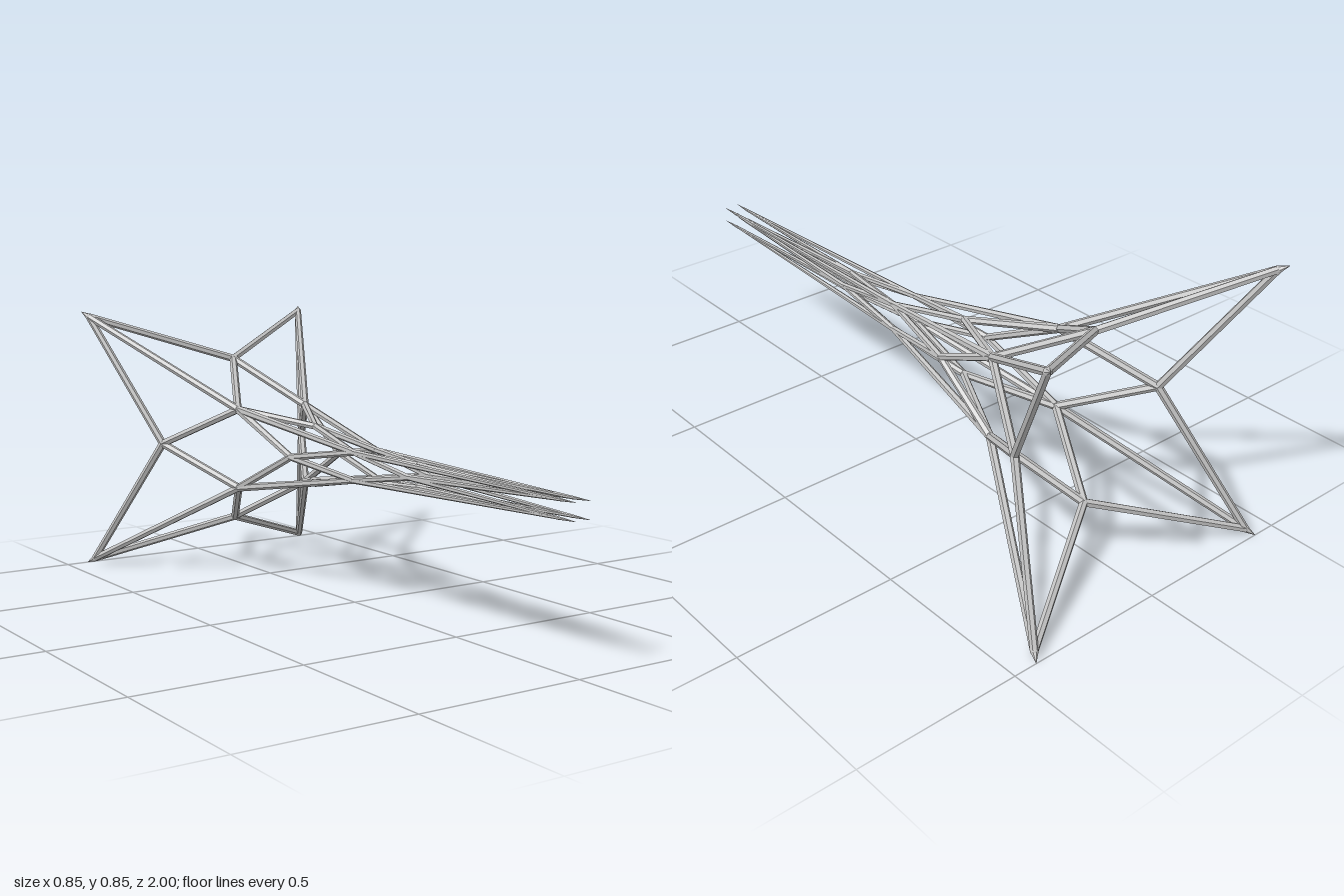
import * as THREE from 'three';

export function createModel() {
  const group = new THREE.Group();
  const steel = new THREE.MeshStandardMaterial({ color: 0xc2c2c2 });
  steel.name = 'light grey steel';
  const CY = 0.428;
  const UP = new THREE.Vector3(0, 1, 0);

  // tapered six-sided strut between two points, with flat faces
  function strut(name, a, b, ra, rb) {
    const d = b.clone().sub(a);
    const geometry = new THREE.CylinderGeometry(rb, ra, d.length(), 6).toNonIndexed();
    geometry.computeVertexNormals();
    const mesh = new THREE.Mesh(geometry, steel);
    mesh.name = name;
    mesh.position.copy(a).add(b).multiplyScalar(0.5);
    mesh.quaternion.setFromUnitVectors(UP, d.normalize());
    group.add(mesh);
  }

  function joint(p, r) {
    const mesh = new THREE.Mesh(new THREE.IcosahedronGeometry(r, 1), steel);
    mesh.name = 'joint';
    mesh.position.copy(p);
    group.add(mesh);
  }

  // rings of the trumpet: [offset, z, strut radius]
  const cornerRings = [
    [0.411, -0.975, 0.0115], [0.127, -0.48, 0.0125], [0.042, 0.055, 0.0095], [0.0235, 0.93, 0.0045],
  ];
  const sideRings = [
    [0.27, -0.73, 0.0125], [0.09, -0.22, 0.011], [0.033, 0.32, 0.009],
  ];

  // node i of a ring; corners sit 45 degrees on from the sides
  const corner = (k, i) => {
    const [o, z] = cornerRings[k];
    const a = (i + 0.5) * Math.PI / 2;
    return new THREE.Vector3(Math.SQRT2 * o * Math.cos(a), CY + Math.SQRT2 * o * Math.sin(a), z);
  };
  const side = (k, i) => {
    const [o, z] = sideRings[k];
    const a = i * Math.PI / 2;
    return new THREE.Vector3(o * Math.cos(a), CY + o * Math.sin(a), z);
  };

  for (let i = 0; i < 4; i++) {
    // long ribs through the corner nodes
    for (let k = 0; k < 3; k++) {
      strut('rib', corner(k, i), corner(k + 1, i), cornerRings[k][2], cornerRings[k + 1][2]);
    }
    cornerRings.forEach((ring, k) => joint(corner(k, i), ring[2]));

    // diamond lattice joining side nodes to the corners before and after
    sideRings.forEach((ring, k) => {
      const p = side(k, i);
      joint(p, ring[2]);
      for (const c of [k, k + 1]) {
        for (const j of [i, i + 3]) {
          strut('latticeStrut', p, corner(c, j), ring[2], cornerRings[c][2]);
        }
      }
    });

    // pointed ends
    const sx = Math.sign(Math.cos((i + 0.5) * Math.PI / 2));
    const sy = Math.sign(Math.sin((i + 0.5) * Math.PI / 2));
    strut('rearPoint', corner(0, i), new THREE.Vector3(sx * 0.427, CY + sy * 0.427, -1), 0.0115, 0.0005);
    strut('frontPoint', corner(3, i), new THREE.Vector3(sx * 0.024, CY + sy * 0.024, 1), 0.005, 0.0005);
  }
  return group;
}
